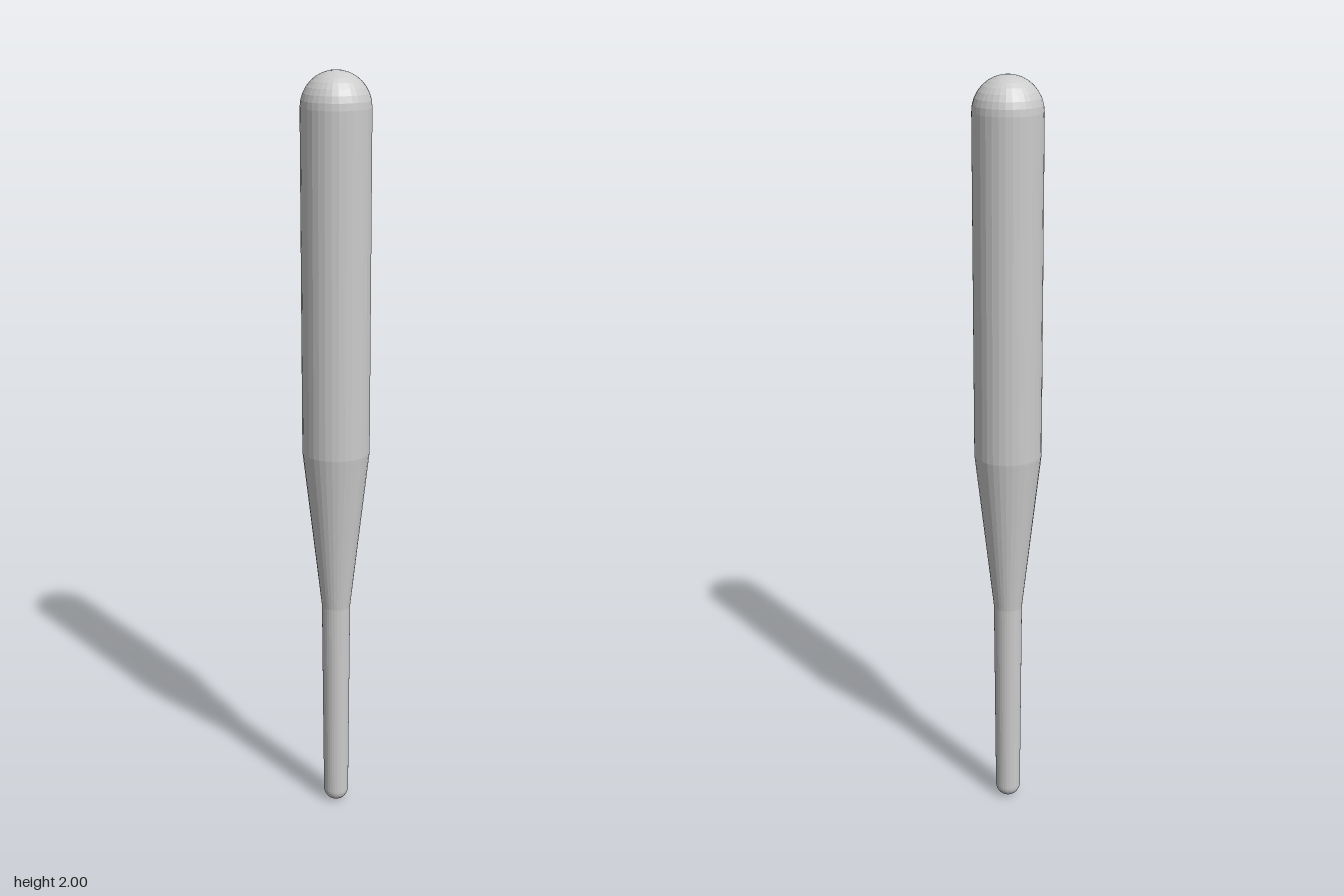
import * as THREE from 'three';

const SIDES = 32;
const BARREL_R = 0.0875, NECK_R = 0.038, END_R = 0.034;
const NECK_Y = 0.6, SHOULDER_Y = 1.04, TOP_Y = 2;

// Points of a quarter circle around (0, y), from angle a0 to a1 above the horizontal
function arc(r, y, a0, a1, steps = 8) {
  const points = [];
  for (let i = 0; i <= steps; i++) {
    const a = a0 + (a1 - a0) * i / steps;
    points.push(new THREE.Vector2(Math.max(0, r * Math.cos(a)), y + r * Math.sin(a)));
  }
  return points;
}

export function createModel() {
  const group = new THREE.Group();
  const material = new THREE.MeshStandardMaterial({ color: 0xcccccc, flatShading: true });

  const addTurned = (name, profile) => {
    const mesh = new THREE.Mesh(new THREE.LatheGeometry(profile, SIDES), material);
    mesh.name = name;
    group.add(mesh);
  };

  // Slim handle with a rounded lower end
  addTurned('handle', [
    ...arc(END_R, END_R, -Math.PI / 2, 0),
    new THREE.Vector2(NECK_R, NECK_Y),
  ]);

  // Cone widening from handle to barrel
  addTurned('taper', [
    new THREE.Vector2(NECK_R, NECK_Y),
    new THREE.Vector2(BARREL_R, SHOULDER_Y),
  ]);

  // Straight barrel
  addTurned('barrel', [
    new THREE.Vector2(BARREL_R, SHOULDER_Y),
    new THREE.Vector2(BARREL_R, TOP_Y - BARREL_R),
  ]);

  // Hemispherical tip
  addTurned('domedTip', arc(BARREL_R, TOP_Y - BARREL_R, 0, Math.PI / 2));

  return group;
}
